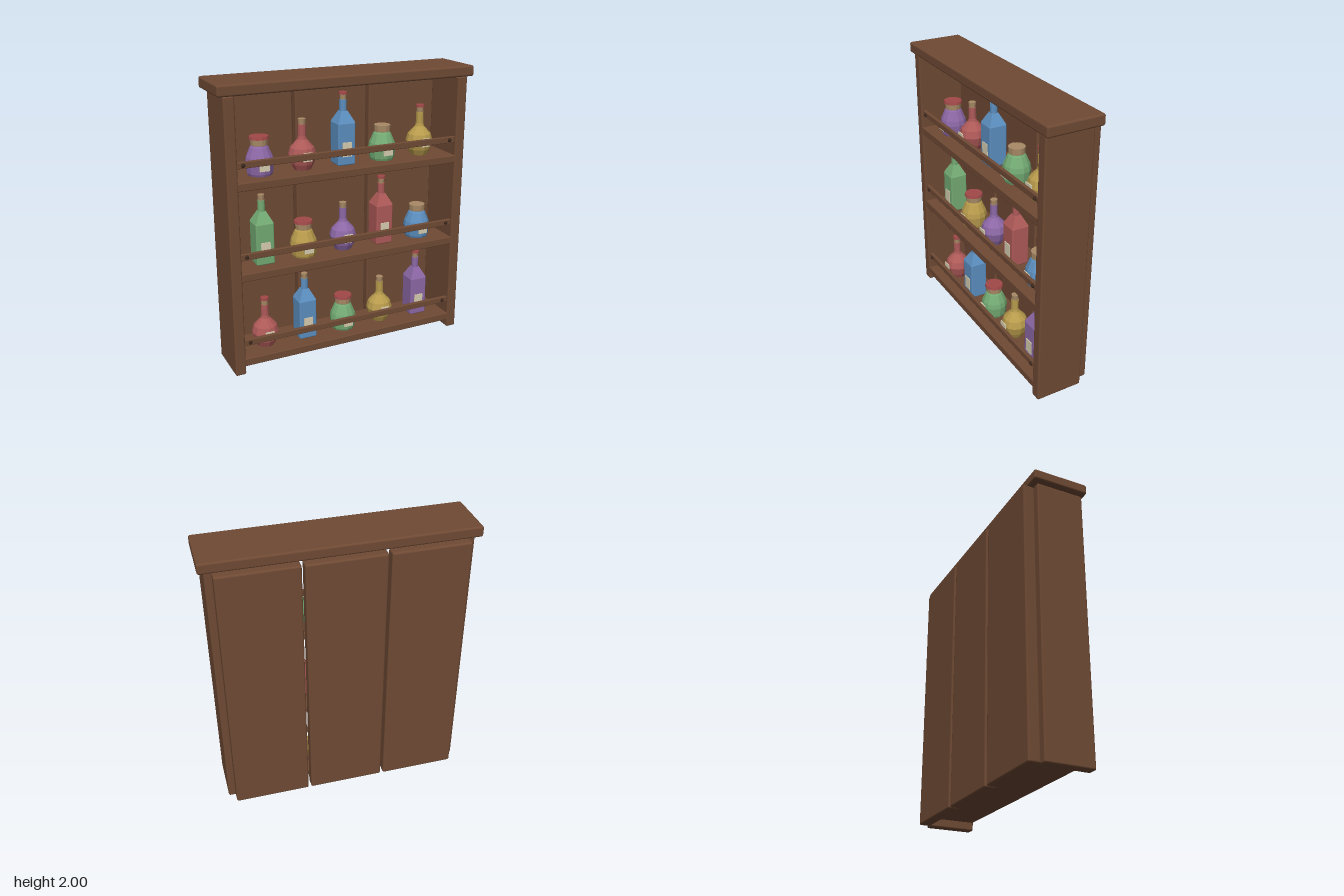
import * as THREE from 'three';
import { RoundedBoxGeometry } from 'three/addons/geometries/RoundedBoxGeometry.js';

const material = (name, color) => {
  const m = new THREE.MeshStandardMaterial({ color });
  m.name = name;
  return m;
};

// Faceted copy of a geometry
function faceted(geometry) {
  const g = geometry.index ? geometry.toNonIndexed() : geometry;
  g.computeVertexNormals();
  return g;
}

const lathe = (points, sides = 12) =>
  faceted(new THREE.LatheGeometry(points.map(([r, y]) => new THREE.Vector2(r, y)), sides));

const disc = (r0, r1, y0, y1) => lathe([[0, y0], [r0, y0], [r1, y1], [0, y1]]);

export function createModel() {
  const wood = material('wood', 0x6f4a34);
  const peg = material('dark peg', 0x3b281d);
  const cork = material('cork', 0xa88a66);
  const wax = material('red wax', 0xa04848);
  const paper = material('label paper', 0xd8ceb0);
  const glass = {
    purple: material('purple glass', 0x8d68a6),
    red: material('red glass', 0xae5a58),
    blue: material('blue glass', 0x5c8fc0),
    green: material('green glass', 0x74ab74),
    yellow: material('yellow glass', 0xb89b4c),
  };

  const model = new THREE.Group();
  model.name = 'bottleShelf';

  function add(parent, name, geometry, mat, x = 0, y = 0, z = 0) {
    const mesh = new THREE.Mesh(geometry, mat);
    mesh.name = name;
    mesh.position.set(x, y, z);
    parent.add(mesh);
    return mesh;
  }

  // Rounded board given by its limits on each axis
  function board(name, [x0, x1], [y0, y1], [z0, z1], r) {
    const geometry = new RoundedBoxGeometry(x1 - x0, y1 - y0, z1 - z0, 2, r);
    return add(model, name, geometry, wood, (x0 + x1) / 2, (y0 + y1) / 2, (z0 + z1) / 2);
  }

  // Cabinet frame
  board('topBoard', [-0.925, 0.925], [1.925, 2], [-0.18, 0.22], 0.014);
  board('leftSide', [0.81, 0.885], [0, 1.925], [-0.14, 0.203], 0.012);
  board('rightSide', [-0.885, -0.81], [0, 1.925], [-0.14, 0.203], 0.012);
  for (const x of [-0.567, -0.002, 0.563]) {
    board('backPlank', [x - 0.273, x + 0.273], [0.004, 1.918], [-0.22, -0.135], 0.014);
  }

  // Jar, round flask and square bottle
  const kinds = [
    {
      parts: [lathe([[0, 0], [0.082, 0], [0.088, 0.015], [0.096, 0.085], [0.09, 0.12],
        [0.062, 0.185], [0.054, 0.195], [0.054, 0.21], [0, 0.21]])],
      cork: disc(0.056, 0.058, 0.198, 0.243),
      wax: disc(0.068, 0.064, 0.24, 0.258),
      label: [0.068, 0.062, 0.072, 0.096],
    },
    {
      parts: [lathe([[0, 0], [0.06, 0], [0.08, 0.04], [0.096, 0.1], [0.082, 0.15],
        [0.032, 0.205], [0.027, 0.225], [0.027, 0.305], [0, 0.305]])],
      cork: disc(0.023, 0.026, 0.3, 0.343),
      wax: disc(0.031, 0.029, 0.34, 0.358),
      label: [0.064, 0.06, 0.1, 0.096],
    },
    {
      parts: [
        new RoundedBoxGeometry(0.13, 0.296, 0.13, 2, 0.01).translate(0, 0.148, 0),
        faceted(new THREE.CylinderGeometry(0.024 * Math.SQRT2, 0.062 * Math.SQRT2, 0.075, 4)
          .rotateY(Math.PI / 4).translate(0, 0.3315, 0)),
        disc(0.025, 0.025, 0.35, 0.445),
      ],
      cork: disc(0.02, 0.023, 0.44, 0.484),
      wax: disc(0.03, 0.028, 0.48, 0.497),
      label: [0.068, 0.1, 0.112, 0.066],
    },
  ];

  function bottle(kind, mat, sealed) {
    const group = new THREE.Group();
    group.name = 'bottle';
    kind.parts.forEach((g) => add(group, 'glassBody', g, mat));
    add(group, 'stopper', kind.cork, cork);
    if (sealed) add(group, 'waxSeal', kind.wax, wax);
    const [w, h, y, z] = kind.label;
    add(group, 'label', new THREE.BoxGeometry(w, h, 0.008), paper, 0, y, z);
    return group;
  }

  // Three shelves with rail, pegs and five bottles each
  const rows = [
    [1.365, ['purple', 'red', 'blue', 'green', 'yellow']],
    [0.74, ['green', 'yellow', 'purple', 'red', 'blue']],
    [0.115, ['red', 'blue', 'green', 'yellow', 'purple']],
  ];
  let count = 0;
  for (const [y, colors] of rows) {
    board('shelf', [-0.82, 0.82], [y - 0.055, y], [-0.14, 0.2], 0.006);
    board('rail', [-0.812, 0.812], [y + 0.092, y + 0.136], [0.163, 0.188], 0.005);
    for (const side of [-1, 1]) {
      add(model, 'railPeg', new THREE.SphereGeometry(0.014, 12, 8), peg, side * 0.768, y + 0.114, 0.188);
    }
    colors.forEach((color, i) => {
      const b = bottle(kinds[count % 3], glass[color], count % 2 === 0);
      b.position.set((i - 2) * 0.303, y, 0.04);
      model.add(b);
      count++;
    });
  }
  return model;
}
